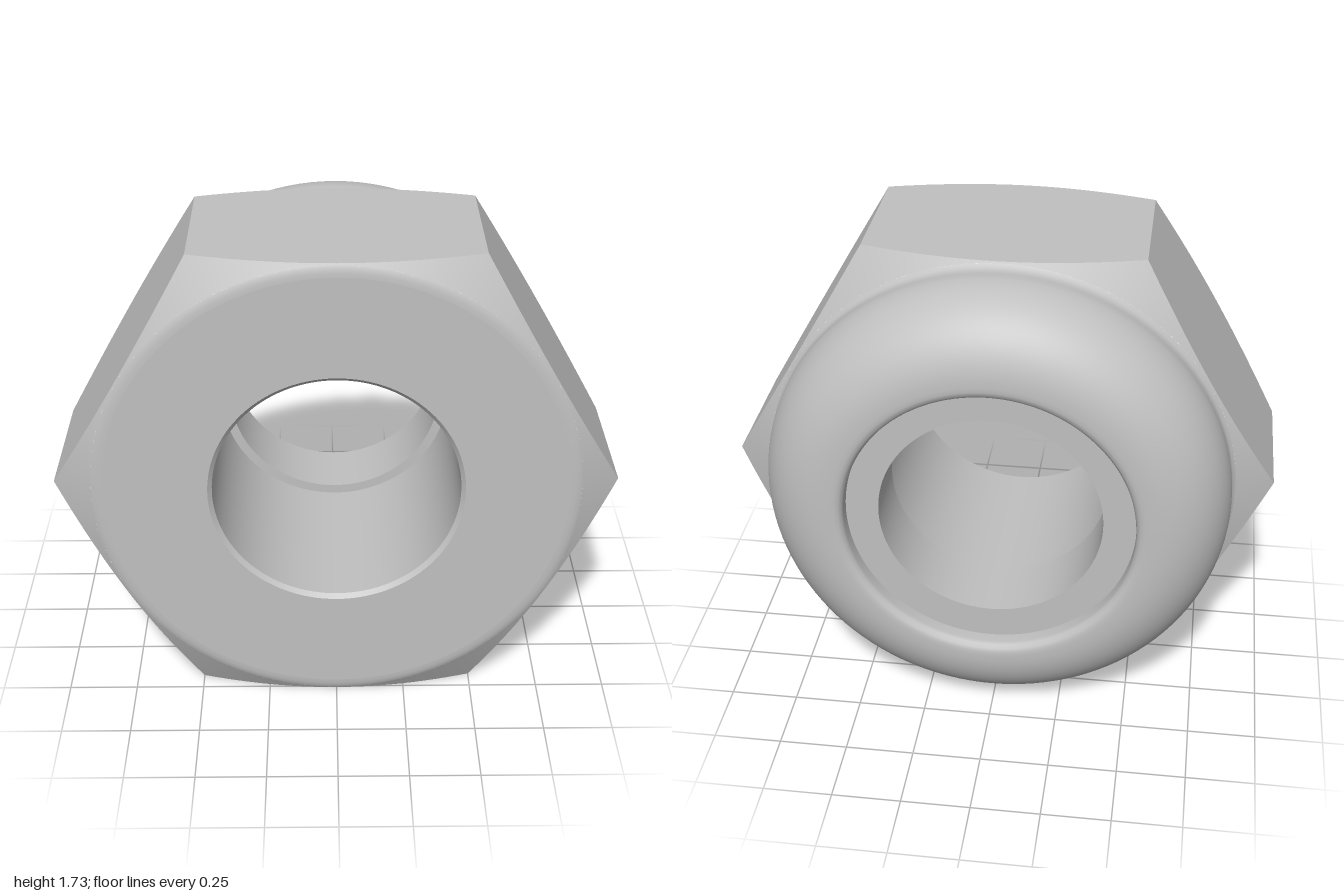
import * as THREE from 'three';

const APOTHEM = Math.sqrt(3) / 2;
const STEPS = 24; // divisions of each hexagon side
const COUNT = STEPS * 6;
const SLOPE = 0.577; // chamfer cone rise per unit of radius

const steel = new THREE.MeshStandardMaterial({ color: 0xc0c0c0 });
steel.name = 'steel grey';

const frontCone = (r) => 0.43 + (1 - r) * SLOPE;
const backCone = (r) => -0.09 - (1 - r) * SLOPE;

// Points on the hexagon outline where the chamfer cone cuts it
function hexRow(coneZ) {
  return Array.from({ length: COUNT }, (_, i) => {
    const side = Math.floor(i / STEPS);
    const t = (i % STEPS) / STEPS - 0.5;
    const angle = (side + 0.5) * Math.PI / 3 + Math.atan2(t, APOTHEM);
    const r = Math.hypot(APOTHEM, t);
    return [Math.cos(angle) * r, Math.sin(angle) * r, coneZ(r)];
  });
}

// The same directions pulled in to a circle on the cone
function circleRow(row, radius, z) {
  return row.map(([x, y]) => {
    const k = radius / Math.hypot(x, y);
    return [x * k, y * k, z];
  });
}

// Closed band of faces between two rows
function band(rowA, rowB, faceted) {
  let geo = new THREE.BufferGeometry();
  geo.setAttribute('position', new THREE.Float32BufferAttribute([...rowA, ...rowB].flat(), 3));
  const index = [];
  for (let i = 0; i < COUNT; i++) {
    const j = (i + 1) % COUNT;
    index.push(i, j, COUNT + j, i, COUNT + j, COUNT + i);
  }
  geo.setIndex(index);
  if (faceted) geo = geo.toNonIndexed();
  geo.computeVertexNormals();
  return geo;
}

// Profile of [radius, z] pairs turned about the z axis
function turned(profile) {
  const geo = new THREE.LatheGeometry(profile.map(([r, z]) => new THREE.Vector2(r, z)), 120);
  return geo.rotateX(Math.PI / 2);
}

export function createModel() {
  const group = new THREE.Group();
  group.name = 'lockNut';
  const add = (name, geo) => {
    const mesh = new THREE.Mesh(geo, steel);
    mesh.name = name;
    mesh.position.y = APOTHEM;
    group.add(mesh);
  };

  // Hexagonal body with conical chamfers
  const front = hexRow(frontCone);
  const back = hexRow(backCone);
  const rim = 0.86;
  add('hexSides', band(back, front, true));
  add('frontChamfer', band(front, circleRow(front, rim, frontCone(rim)), false));
  add('backChamfer', band(circleRow(back, rim, backCone(rim)), back, false));

  // Front face with a softened rim
  add('frontRim', turned([[rim, frontCone(rim)], [0.85, 0.516], [0.835, 0.519], [0.82, 0.52]]));
  add('frontFace', turned([[0.82, 0.52], [0.452, 0.52]]));

  // Bore, stepping down to the locking insert
  add('boreChamfer', turned([[0.452, 0.52], [0.437, 0.505]]));
  add('bore', turned([[0.437, 0.505], [0.437, -0.19]]));
  add('insertFront', turned([[0.437, -0.19], [0.402, -0.19]]));
  add('insertBore', turned([[0.402, -0.19], [0.402, -0.45]]));
  add('insertBack', turned([[0.402, -0.45], [0.52, -0.45]]));

  // Rounded collar: inner lip, dome and fillet into the body
  const collar = [[0.52, -0.45], [0.52, -0.49], [0.524, -0.505], [0.535, -0.516], [0.55, -0.52]];
  for (let i = 0; i <= 20; i++) {
    const a = (i / 20) * Math.PI / 2;
    collar.push([0.567 + 0.28 * Math.sin(a), -0.24 - 0.28 * Math.cos(a)]);
  }
  collar.push([0.844, -0.215], [0.844, -0.195], [0.849, -0.18], [rim, backCone(rim)]);
  add('collar', turned(collar));

  return group;
}
